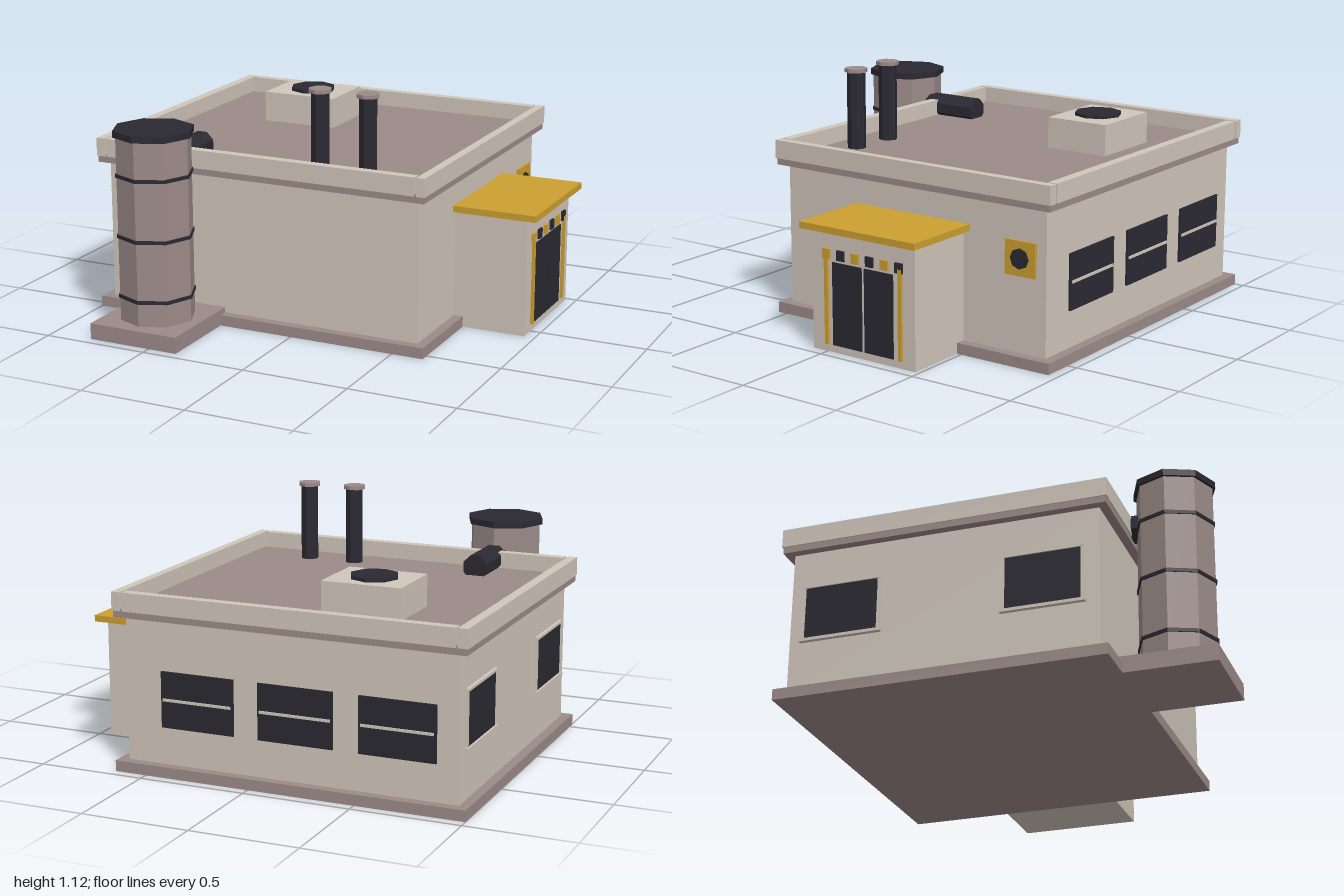
import * as THREE from 'three';

const mat = (color) => new THREE.MeshStandardMaterial({ color, flatShading: true });

export function createModel() {
  const root = new THREE.Group();
  const beige = mat(0xd0c6bb), mauve = mat(0x9c8b88), dark = mat(0x2b2932), yellow = mat(0xcc9f30);

  const add = (name, geometry, material) => {
    const mesh = new THREE.Mesh(geometry, material);
    mesh.name = name;
    root.add(mesh);
    return mesh;
  };
  // Box given by its limits on each axis
  const box = (name, material, x0, x1, y0, y1, z0, z1) => {
    const mesh = add(name, new THREE.BoxGeometry(x1 - x0, y1 - y0, z1 - z0), material);
    mesh.position.set((x0 + x1) / 2, (y0 + y1) / 2, (z0 + z1) / 2);
    return mesh;
  };
  // Upright octagonal prism
  const prism = (name, material, x, z, r, y0, y1) => {
    const mesh = add(name, new THREE.CylinderGeometry(r, r, y1 - y0, 8), material);
    mesh.position.set(x, (y0 + y1) / 2, z);
    return mesh;
  };

  // Main building
  box('plinth', mauve, -1, 0.65, 0, 0.05, -0.955, 0.545);
  box('walls', beige, -0.955, 0.605, 0.05, 0.71, -0.91, 0.5);
  box('roof', mauve, -0.995, 0.645, 0.705, 0.745, -0.95, 0.54);
  box('parapetLeft', beige, -1, -0.955, 0.735, 0.82, -0.955, 0.545);
  box('parapetRight', beige, 0.61, 0.65, 0.735, 0.82, -0.955, 0.545);
  box('parapetFront', beige, -0.945, 0.6, 0.735, 0.82, 0.5, 0.545);
  box('parapetBack', beige, -0.945, 0.6, 0.735, 0.82, -0.955, -0.91);

  // Roof vent
  box('ventBox', beige, -0.595, -0.225, 0.74, 0.89, -0.675, -0.365);
  prism('ventFan', dark, -0.41, -0.52, 0.11, 0.885, 0.905);

  // Chimneys
  for (const x of [0.06, 0.295]) {
    prism('chimney', dark, x, 0.355, 0.043, 0.74, 1.105);
    prism('chimneyCap', mauve, x, 0.355, 0.054, 1.103, 1.12);
  }

  // Silo with bands and a duct to the roof
  box('siloPad', mauve, -0.8, -0.36, 0, 0.075, 0.5, 0.955);
  prism('silo', mauve, -0.58, 0.73, 0.173, 0.07, 0.93);
  prism('siloCap', dark, -0.58, 0.73, 0.186, 0.925, 0.955);
  for (const y of [0.19, 0.47, 0.75]) prism('siloBand', dark, -0.58, 0.73, 0.179, y - 0.008, y + 0.008);
  const duct = add('duct', new THREE.CylinderGeometry(0.062, 0.062, 0.32, 8).rotateY(Math.PI / 8), dark);
  duct.rotation.x = Math.PI / 2;
  duct.position.set(-0.58, 0.782, 0.455);

  // Entrance annex
  box('annex', beige, 0.59, 0.95, 0, 0.555, -0.48, 0.08);
  box('annexRoof', yellow, 0.6, 1, 0.55, 0.58, -0.515, 0.108);
  box('door', dark, 0.94, 0.956, 0.035, 0.41, -0.195, -0.035);
  box('door', dark, 0.94, 0.956, 0.035, 0.41, -0.365, -0.21);
  for (const z of [-0.003, -0.405]) box('doorPost', yellow, 0.94, 0.962, 0.035, 0.44, z - 0.009, z + 0.009);
  for (let i = 0; i < 6; i++) {
    const z = -0.003 - i * 0.079;
    box('stripeBlock', i % 2 ? dark : yellow, 0.94, 0.96, 0.422, 0.467, z - 0.02, z + 0.02);
  }

  // Fan on the right wall
  box('fanPlate', yellow, 0.6, 0.617, 0.395, 0.55, -0.86, -0.705);
  const fan = prism('wallFan', dark, 0, 0, 0.046, 0, 0.02);
  fan.rotation.z = Math.PI / 2;
  fan.position.set(0.615, 0.473, -0.782);

  // Back windows with a middle bar
  for (const x of [0.257, -0.21, -0.68]) {
    box('backWindow', dark, x - 0.175, x + 0.175, 0.22, 0.475, -0.92, -0.9);
    box('backWindowBar', beige, x - 0.165, x + 0.165, 0.342, 0.354, -0.926, -0.91);
  }

  // Left windows with thin frames
  for (const z of [-0.67, 0.25]) {
    box('leftWindow', dark, -0.965, -0.945, 0.285, 0.53, z - 0.17, z + 0.17);
    box('windowSill', beige, -0.975, -0.945, 0.272, 0.286, z - 0.19, z + 0.19);
    box('windowHead', beige, -0.971, -0.945, 0.527, 0.539, z - 0.18, z + 0.18);
    for (const s of [-1, 1])
      box('windowJamb', beige, -0.968, -0.945, 0.28, 0.535, z + s * 0.175 - 0.006, z + s * 0.175 + 0.006);
  }
  return root;
}
